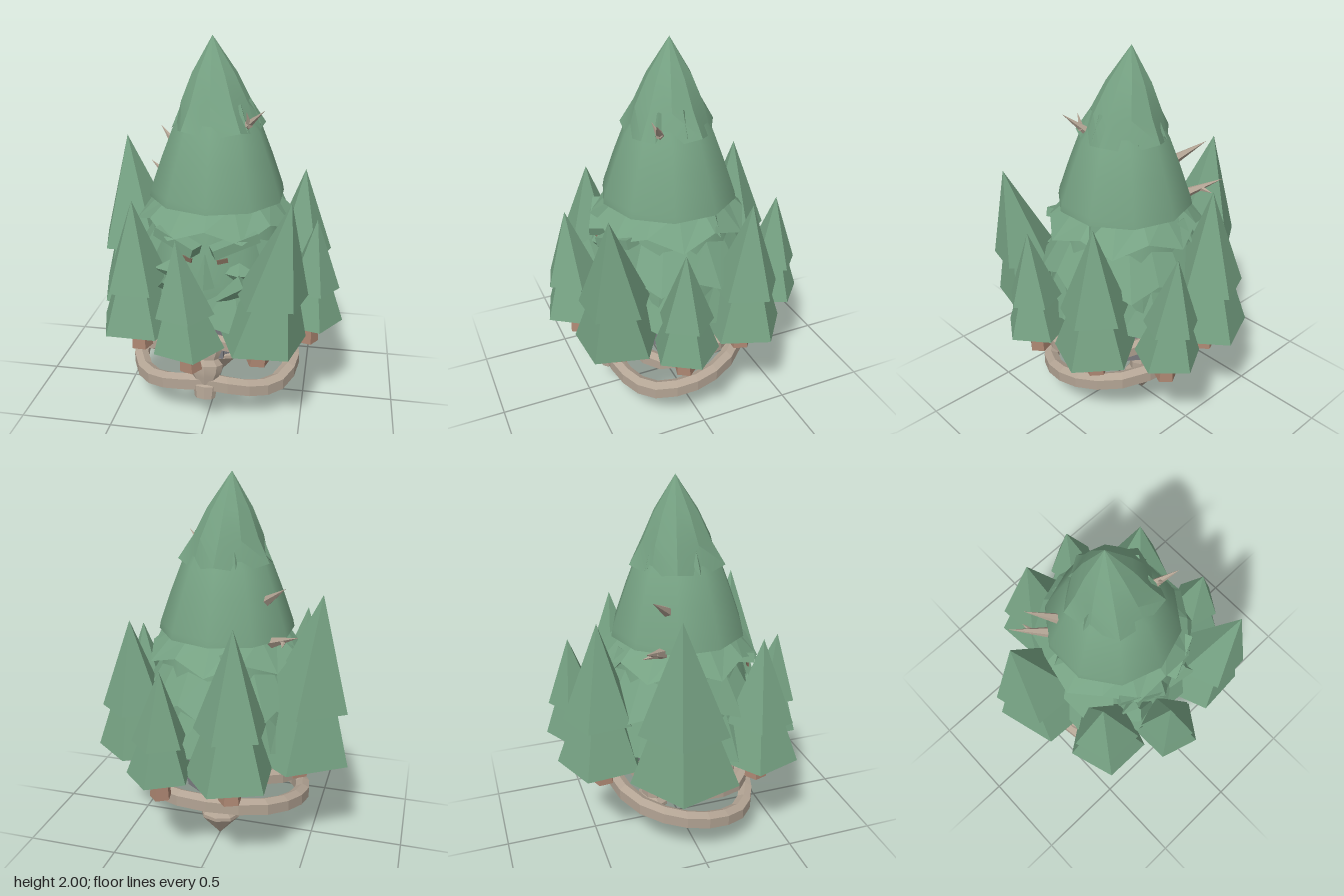
import * as THREE from 'three';
import { toCreasedNormals } from 'three/addons/utils/BufferGeometryUtils.js';

const material = (name, color, open = false) => {
  const m = new THREE.MeshStandardMaterial({ color, side: open ? THREE.DoubleSide : THREE.FrontSide });
  m.name = name;
  return m;
};

export function createModel() {
  const root = new THREE.Group();
  const green = material('foliage green', 0x76a283, true);
  const brown = material('trunk brown', 0xac8672);
  const beige = material('pale wood', 0xb3a494);
  const grey = material('bark grey', 0x7f8085);
  const eyeBrown = material('eye brown', 0x7a6656);

  const add = (name, geo, mat, parent = root) => {
    const mesh = new THREE.Mesh(geo, mat);
    mesh.name = name;
    parent.add(mesh);
    return mesh;
  };
  const flat = (geo) => {
    const g = geo.index ? geo.toNonIndexed() : geo;
    g.computeVertexNormals();
    return g;
  };
  const creased = (geo, angle = 0.75) => toCreasedNormals(geo, angle);
  const lathe = (pts, sides) => new THREE.LatheGeometry(pts.map(([r, y]) => new THREE.Vector2(r, y)), sides);

  // Moves every vertex sideways in proportion to its height
  const lean = (geo, y0, y1, dx, dz) => {
    const p = geo.attributes.position;
    for (let i = 0; i < p.count; i++) {
      const t = (p.getY(i) - y0) / (y1 - y0);
      p.setX(i, p.getX(i) + dx * t);
      p.setZ(i, p.getZ(i) + dz * t);
    }
    return geo;
  };

  // Ring of small two-tier trees: base x, base z, radius, turn, apex x, apex y, apex z
  const trees = [
    [-0.15, -0.47, 0.235, 2.91, -0.16, 1.33, -0.47],
    [0.20, -0.53, 0.175, 3.02, 0.18, 1.12, -0.56],
    [0.43, -0.24, 0.22, 3.1, 0.45, 1.26, -0.26],
    [0.52, 0.13, 0.175, 1.63, 0.54, 1.12, 0.14],
    [0.30, 0.41, 0.23, 0.69, 0.43, 1.32, 0.48],
    [-0.06, 0.52, 0.185, 0.34, -0.11, 1.12, 0.54],
    [-0.36, 0.33, 0.22, -0.64, -0.38, 1.23, 0.33],
    [-0.43, -0.10, 0.29, -1.93, -0.53, 1.44, -0.15],
  ];
  for (const [x, z, r, turn, ax, ay, az] of trees) {
    const tree = new THREE.Group();
    tree.name = 'smallTree';
    tree.position.set(x, 0.55, z);
    root.add(tree);
    const h = ay - 0.55;
    const lower = new THREE.CylinderGeometry(r * 0.55, r, h * 0.38, 5).rotateY(turn).translate(0, h * 0.19, 0);
    const upper = new THREE.ConeGeometry(r * 0.82, h * 0.67, 5).rotateY(turn).translate(0, h * 0.665, 0);
    add('lowerTier', flat(lean(lower, 0, h, ax - x, az - z)), green, tree);
    add('upperTier', flat(lean(upper, 0, h, ax - x, az - z)), green, tree);
    const k = 0.042 + r * 0.09;
    const trunk = new THREE.CylinderGeometry(k * 0.75, k, 0.17, 5).rotateY(turn).translate(0, -0.05, 0);
    add('treeTrunk', flat(lean(trunk, 0, h, ax - x, az - z)), brown, tree);
  }

  // Main foliage body
  add('body', creased(lathe([[0.0, 0.58], [0.39, 0.58], [0.42, 0.7], [0.38, 0.9], [0.34, 1.08], [0.3, 1.2]], 12), 0.6), green);

  // Jagged skirts: every other bottom corner rises and pulls in
  const skirt = (name, rTop, rBot, yTop, yBot, rise, sides, start = 0, arc = Math.PI * 2) => {
    const geo = new THREE.CylinderGeometry(rTop, rBot, yTop - yBot, sides, 1, true, start, arc);
    const p = geo.attributes.position;
    for (let i = sides + 1; i < p.count; i++) {
      if (i % 2) {
        p.setY(i, p.getY(i) + rise);
        p.setX(i, p.getX(i) * 0.92);
        p.setZ(i, p.getZ(i) * 0.92);
      }
    }
    geo.translate(0, (yTop + yBot) / 2, 0);
    return add(name, flat(geo), green);
  };
  skirt('upperSkirt', 0.29, 0.43, 1.2, 1.05, 0.06, 14);
  skirt('middleSkirt', 0.33, 0.47, 1.05, 0.82, 0.06, 14, 0.75, Math.PI * 2 - 1.5);
  skirt('lowerSkirt', 0.37, 0.49, 0.86, 0.58, 0.05, 16);

  // Face: sloping brow leaves, eyes, cheeks, nose and moustache
  for (const s of [-1, 1]) {
    const brow = add('brow', flat(new THREE.BoxGeometry(0.24, 0.05, 0.08)), green);
    brow.position.set(s * 0.145, 1.04, 0.345);
    brow.rotation.set(0, s * 0.42, s * 0.3, 'YXZ');
    const eye = add('eye', new THREE.BoxGeometry(0.055, 0.022, 0.009), eyeBrown);
    eye.position.set(s * 0.09, 0.957, 0.378);
    eye.rotation.set(0, s * 0.25, s * 0.2, 'YXZ');
    const cheek = add('cheek', flat(new THREE.OctahedronGeometry(0.1)), green);
    cheek.scale.set(1, 0.6, 0.4);
    cheek.position.set(s * 0.17, 0.88, 0.345);
    const tache = add('moustache', flat(new THREE.ConeGeometry(0.06, 0.26, 5)), green);
    tache.position.set(s * 0.1, 0.77, 0.38);
    tache.rotation.z = s * 2.2;
  }
  const nose = add('nose', flat(new THREE.ConeGeometry(0.055, 0.18, 5)), green);
  nose.position.set(0, 0.9, 0.37);

  // Hat with a rim, and a jagged leaning crown
  add('hat', creased(lathe([[0.2, 1.24], [0.32, 1.18], [0.36, 1.185], [0.352, 1.225], [0.29, 1.4], [0.235, 1.54], [0.12, 1.72]], 10)), green);
  const crown = lathe([[0.235, 1.55], [0.18, 1.68], [0.115, 1.82], [0.0, 2.0]], 10);
  const cp = crown.attributes.position;
  for (let i = 0; i < cp.count; i++) {
    if (cp.getY(i) < 1.6) {
      const k = Math.floor(i / 4) % 2 ? 1.08 : 0.94;
      cp.setXYZ(i, cp.getX(i) * k, cp.getY(i) + (k > 1 ? 0.01 : -0.02), cp.getZ(i) * k);
    }
  }
  add('crown', creased(lean(crown, 1.55, 2, -0.03, -0.02), 0.5), green);

  // Pointed flaps hanging from the crown and skirt: angle, height, distance
  for (const [a, y, r] of [[0.9, 1.6, 0.18], [1.6, 1.61, 0.18], [2.7, 1.61, 0.17], [3.6, 1.6, 0.18], [4.9, 1.59, 0.19], [1.9, 1.12, 0.35], [4.6, 1.1, 0.36], [3.4, 1.08, 0.37]]) {
    const flap = add('flap', flat(new THREE.ConeGeometry(0.05, 0.14, 4)), green);
    flap.position.set(Math.sin(a) * r, y, Math.cos(a) * r);
    flap.rotation.set(2.4, a, 0, 'YXZ');
  }

  // Pointed twigs, from root to tip
  const up = new THREE.Vector3(0, 1, 0);
  for (const [from, to, r] of [
    [[0.14, 1.56, 0.1], [0.26, 1.67, 0.17], 0.028],
    [[0.18, 1.58, 0.12], [0.17, 1.66, 0.16], 0.018],
    [[-0.24, 1.38, -0.13], [-0.36, 1.48, -0.24], 0.028],
    [[-0.28, 1.18, -0.17], [-0.44, 1.26, -0.3], 0.03],
    [[-0.35, 1.21, -0.22], [-0.36, 1.2, -0.3], 0.018],
  ]) {
    const a = new THREE.Vector3(...from), b = new THREE.Vector3(...to);
    const twig = add('twig', flat(new THREE.ConeGeometry(r, a.distanceTo(b), 5)), beige);
    twig.position.copy(a).add(b).multiplyScalar(0.5);
    twig.quaternion.setFromUnitVectors(up, b.sub(a).normalize());
  }

  // Bark trunk: a core surrounded by long slabs, with shorter ones outside
  add('barkCore', flat(new THREE.CylinderGeometry(0.21, 0.18, 0.3, 10).translate(0, 0.46, -0.02)), grey);
  add('heartwood', flat(new THREE.CylinderGeometry(0.09, 0.09, 0.2, 6).translate(0, 0.4, -0.02)), brown);
  for (let i = 0; i < 10; i++) {
    const a = (i / 10) * Math.PI * 2, h = 0.31 - (i * 3 % 4) * 0.01;
    const slab = add('barkSlab', new THREE.BoxGeometry(0.13, h, 0.05), grey);
    slab.position.set(Math.sin(a) * 0.205, 0.6 - h / 2, Math.cos(a) * 0.205 - 0.02);
    slab.rotation.set(0.06, a, 0, 'YXZ');
    const short = add('outerBarkSlab', new THREE.BoxGeometry(0.16, 0.16, 0.05), grey);
    short.position.set(Math.sin(a + 0.3) * 0.255, 0.52 + (i % 3) * 0.012, Math.cos(a + 0.3) * 0.255 - 0.035);
    short.rotation.set(0.1, a + 0.3, 0, 'YXZ');
  }

  // Bent wooden hoops: half the path is given and mirrored
  const hoop = (name, half, h, t) => {
    const mirror = half.slice(1, -1).reverse().map(([x, y, z]) => [-x, y, z]);
    const path = new THREE.CatmullRomCurve3([...half, ...mirror].map((p) => new THREE.Vector3(...p)), true);
    const section = [[-1, -0.6], [0, -1], [1, -0.6], [1, 0.6], [0, 1], [-1, 0.6]];
    const steps = 22, n = section.length, pos = [], index = [];
    for (let i = 0; i < steps; i++) {
      const c = path.getPoint(i / steps), l = Math.hypot(c.x, c.z);
      for (const [u, v] of section) pos.push(c.x + (c.x / l) * u * t, c.y + v * h, c.z + (c.z / l) * u * t);
      for (let j = 0; j < n; j++) {
        const a = i * n + j, b = i * n + (j + 1) % n;
        const c2 = ((i + 1) % steps) * n + j, d = ((i + 1) % steps) * n + (j + 1) % n;
        index.push(a, c2, b, b, c2, d);
      }
    }
    const geo = new THREE.BufferGeometry();
    geo.setAttribute('position', new THREE.Float32BufferAttribute(pos, 3));
    geo.setIndex(index);
    add(name, flat(geo), beige);
  };
  hoop('lowerHoop', [[0, 0.25, 0.37], [0.2, 0.215, 0.345], [0.35, 0.195, 0.255], [0.43, 0.225, 0.08], [0.405, 0.26, -0.12], [0.27, 0.3, -0.3], [0, 0.32, -0.375]], 0.05, 0.038);
  hoop('upperHoop', [[0, 0.47, 0.31], [0.2, 0.42, 0.3], [0.35, 0.385, 0.23], [0.415, 0.4, 0.05], [0.375, 0.43, -0.15], [0.25, 0.46, -0.27], [0, 0.48, -0.32]], 0.042, 0.036);

  // Turned handle joining the hoops at the front
  const handle = add('handle', creased(lathe([[0, 0.17], [0.055, 0.17], [0.065, 0.24], [0.05, 0.25], [0.07, 0.29], [0.085, 0.32], [0.09, 0.36], [0.065, 0.39], [0.08, 0.43], [0.08, 0.47], [0.06, 0.49], [0.035, 0.5], [0.045, 0.53], [0.035, 0.56], [0, 0.56]], 8), 0.6), beige);
  handle.scale.z = 0.6;
  handle.position.z = 0.425;
  handle.rotation.x = -0.18;

  // Pointed pendant under the trunk
  const pendant = add('pendant', flat(lathe([[0, 0], [0.11, 0.12], [0.11, 0.14], [0.08, 0.17], [0.08, 0.22], [0.05, 0.32], [0, 0.32]], 8)), beige);
  pendant.scale.z = 0.8;
  pendant.position.z = -0.15;

  return root;
}
